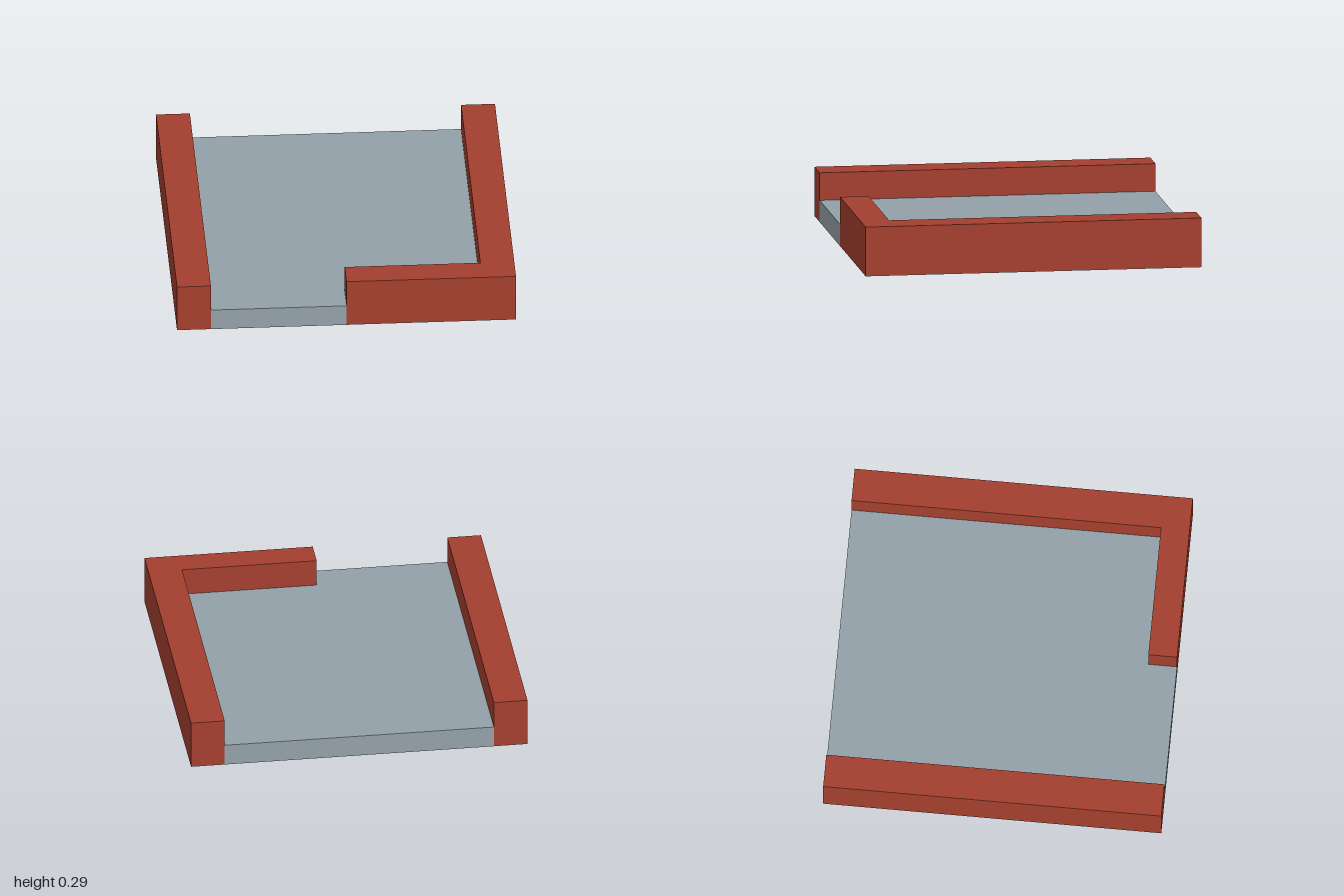
import * as THREE from 'three';

const SKIN = 0.003; // thin grey underside sheet
const FLOOR_TOP = 0.13;
const WALL_TOP = 0.295;

// Extrude a plan outline given as [x, z] points from height y0 up to y1
function slab(name, outline, y0, y1, material) {
  const shape = new THREE.Shape(outline.map(([x, z]) => new THREE.Vector2(x, -z)));
  const geometry = new THREE.ExtrudeGeometry(shape, { depth: y1 - y0, bevelEnabled: false });
  geometry.rotateX(-Math.PI / 2).translate(0, y0, 0);
  const mesh = new THREE.Mesh(geometry, material);
  mesh.name = name;
  return mesh;
}

export function createModel() {
  const group = new THREE.Group();
  group.name = 'walledFloorTile';
  const brick = new THREE.MeshStandardMaterial({ color: 0xa5402f });
  const stone = new THREE.MeshStandardMaterial({ color: 0x95a2a9 });

  // Underside covering the whole footprint
  group.add(slab('underside', [[-1, 1], [1, 1], [1, -1], [-1, -1]], 0, SKIN, stone));

  // Floor, notched around the short front wall
  group.add(slab('floor',
    [[-0.8, 1], [0, 1], [0, 0.83], [0.8, 0.83], [0.8, -1], [-0.8, -1]],
    SKIN, FLOOR_TOP, stone));

  // Straight wall along the right side
  group.add(slab('rightWall', [[-1, 1], [-0.8, 1], [-0.8, -1], [-1, -1]], SKIN, WALL_TOP, brick));

  // L-shaped wall along the left side and half of the front
  group.add(slab('cornerWall',
    [[0, 1], [1, 1], [1, -1], [0.8, -1], [0.8, 0.83], [0, 0.83]],
    SKIN, WALL_TOP, brick));

  return group;
}
